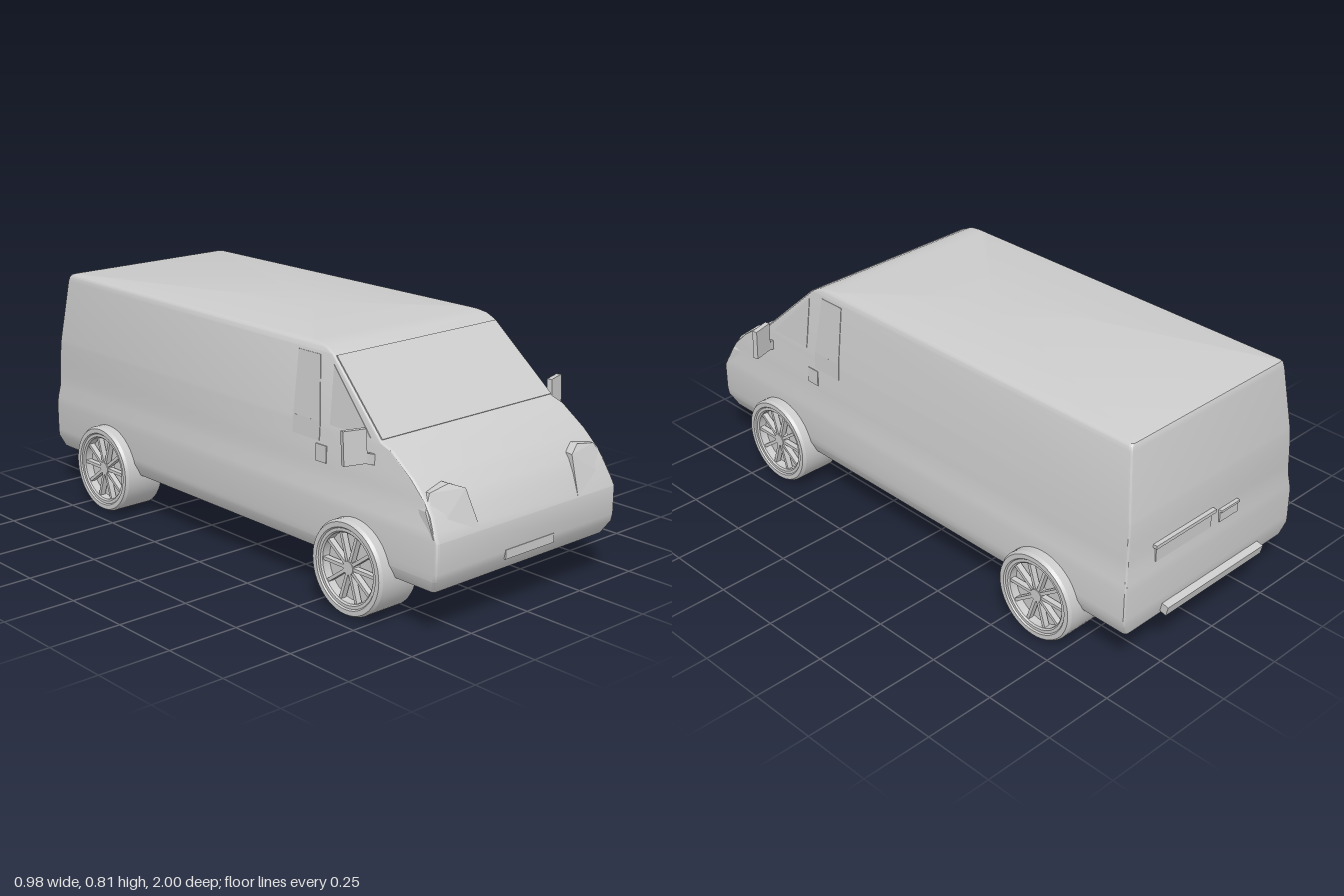
import * as THREE from 'three';
import { toCreasedNormals } from 'three/addons/utils/BufferGeometryUtils.js';
import { ConvexGeometry } from 'three/addons/geometries/ConvexGeometry.js';

const grey = new THREE.MeshStandardMaterial({ color: 0xcccccc });
const V = (x, y, z) => new THREE.Vector3(x, y, z);

function mesh(name, geometry, parent) {
  const m = new THREE.Mesh(geometry, grey);
  m.name = name;
  parent.add(m);
  return m;
}

function box(name, parent, x0, x1, y0, y1, z0, z1) {
  const m = mesh(name, new THREE.BoxGeometry(x1 - x0, y1 - y0, z1 - z0), parent);
  m.position.set((x0 + x1) / 2, (y0 + y1) / 2, (z0 + z1) / 2);
  return m;
}

// Thin plate from a flat outline, thickened both ways along its normal
function plate(name, parent, points, half) {
  const n = points[1].clone().sub(points[0]).cross(points[2].clone().sub(points[0])).setLength(half);
  const all = points.flatMap(p => [p.clone().add(n), p.clone().sub(n)]);
  return mesh(name, new ConvexGeometry(all), parent);
}

// Body levels: height, half width, front z, back z
const LEVELS = [
  [0.157, 0.385, 0.97, -0.965], [0.2, 0.405, 0.995, -0.975], [0.225, 0.406, 1.0, -0.975],
  [0.32, 0.406, 1.0, -0.975], [0.35, 0.403, 0.985, -0.973], [0.39, 0.396, 0.965, -0.968],
  [0.43, 0.394, 0.938, -0.967], [0.485, 0.392, 0.88, -0.966], [0.55, 0.388, 0.79, -0.964],
  [0.565, 0.387, 0.745, -0.962], [0.785, 0.362, 0.505, -0.935], [0.8, 0.358, 0.475, -0.932],
  [0.807, 0.352, 0.44, -0.929], [0.81, 0.343, 0.4, -0.922],
];

function halfWidth(y) {
  const i = Math.max(1, LEVELS.findIndex(l => l[0] >= y));
  const [a, b] = [LEVELS[i - 1], LEVELS[i]];
  return THREE.MathUtils.mapLinear(y, a[0], b[0], a[1], b[1]);
}

// Loft of rounded rectangles, closed by floor and roof
function bodyGeometry() {
  const r = 0.012, steps = 3, pos = [], index = [];
  for (const [y, w, front, back] of LEVELS) {
    const corners = [[w - r, front - r], [r - w, front - r], [r - w, back + r], [w - r, back + r]];
    corners.forEach(([x, z], c) => {
      for (let s = 0; s <= steps; s++) {
        const a = (c + s / steps) * Math.PI / 2;
        pos.push(x + r * Math.cos(a), y, z + r * Math.sin(a));
      }
    });
  }
  const n = 4 * (steps + 1), top = (LEVELS.length - 1) * n, mid = LEVELS.length * n;
  pos.push(0, LEVELS[0][0], 0, 0, LEVELS.at(-1)[0], 0);
  for (let j = 0; j < n; j++) {
    const k = (j + 1) % n;
    for (let i = 0; i < top; i += n) index.push(i + j, i + n + j, i + n + k, i + j, i + n + k, i + k);
    index.push(mid, j, k, mid + 1, top + k, top + j);
  }
  const g = new THREE.BufferGeometry();
  g.setAttribute('position', new THREE.Float32BufferAttribute(pos, 3));
  g.setIndex(index);
  return toCreasedNormals(g, 0.5);
}

// Wheel along +y from its inner face, with a dished rim and ten spokes
function makeWheel() {
  const wheel = new THREE.Group();
  const profile = [[0, 0], [0.15, 0], [0.155, 0.005], [0.155, 0.146], [0.148, 0.157], [0.132, 0.157],
    [0.128, 0.152], [0.118, 0.152], [0.113, 0.147], [0.113, 0.118], [0, 0.118]];
  const lathe = new THREE.LatheGeometry(profile.map(p => new THREE.Vector2(...p)), 48);
  mesh('tyreAndRim', toCreasedNormals(lathe, 0.5), wheel);
  mesh('hub', new THREE.CylinderGeometry(0.022, 0.026, 0.028, 20), wheel).position.y = 0.132;
  for (let i = 0; i < 10; i++) {
    const spoke = new THREE.BoxGeometry(0.1, 0.02, 0.011).translate(0.065, 0.134, 0);
    mesh('spoke', spoke.rotateY((i + 0.5) * Math.PI / 5), wheel);
  }
  return wheel;
}

export function createModel() {
  const van = new THREE.Group();
  van.name = 'van';
  mesh('body', bodyGeometry(), van);

  // Windscreen and front number plate
  plate('windscreen', van, [V(-0.379, 0.571, 0.739), V(0.379, 0.571, 0.739),
    V(0.354, 0.78, 0.511), V(-0.354, 0.78, 0.511)], 0.003);
  box('frontPlate', van, -0.11, 0.11, 0.2, 0.23, 0.98, 1.002);

  for (const s of [1, -1]) {
    const prefix = s > 0 ? 'left' : 'right';
    const onSide = (y, z) => V(s * halfWidth(y), y, z);

    // Side glass and door handle
    plate(prefix + 'QuarterWindow', van,
      [onSide(0.57, 0.7), onSide(0.57, 0.52), onSide(0.755, 0.515)], 0.002);
    plate(prefix + 'DoorWindow', van,
      [onSide(0.57, 0.475), onSide(0.57, 0.35), onSide(0.775, 0.35), onSide(0.775, 0.45)], 0.002);
    plate(prefix + 'DoorWindowSill', van,
      [onSide(0.51, 0.475), onSide(0.51, 0.35), onSide(0.57, 0.35), onSide(0.57, 0.475)], 0.002);
    plate(prefix + 'DoorHandle', van,
      [onSide(0.445, 0.51), onSide(0.445, 0.46), onSide(0.5, 0.46), onSide(0.5, 0.51)], 0.003);

    // Headlight wedge standing out of the nose
    const face = [[0.222, 0.325, 0.998], [0.24, 0.445, 0.952], [0.29, 0.465, 0.93], [0.37, 0.452, 0.93],
      [0.4, 0.405, 0.945], [0.406, 0.33, 0.985]];
    const lamp = face.flatMap(([x, y, z]) => [V(s * x, y, z),
      V(s * THREE.MathUtils.lerp(x, 0.33, 0.12), y, z - 0.06)]);
    mesh(prefix + 'Headlight', new ConvexGeometry(lamp), van);

    // Door mirror on a short arm
    const mirror = new THREE.Group();
    mirror.name = prefix + 'Mirror';
    van.add(mirror);
    plate('mirrorHead', mirror, [V(s * 0.413, 0.5, 0.708), V(s * 0.487, 0.5, 0.685),
      V(s * 0.487, 0.607, 0.68), V(s * 0.413, 0.607, 0.703)], 0.009);
    plate('mirrorArm', mirror, [V(s * 0.38, 0.488, 0.717), V(s * 0.42, 0.5, 0.706),
      V(s * 0.42, 0.533, 0.706), V(s * 0.38, 0.523, 0.717)], 0.007);

    // Wheels
    for (const [end, z] of [['Front', 0.655], ['Rear', -0.635]]) {
      const wheel = makeWheel();
      wheel.name = prefix + end + 'Wheel';
      wheel.position.set(s * 0.29, 0.155, z);
      wheel.rotation.z = -s * Math.PI / 2;
      van.add(wheel);
    }
  }

  // Rear number plate with its lip, door handle and step
  box('rearPlate', van, 0.01, 0.27, 0.375, 0.43, -0.972, -0.95);
  box('rearPlateLip', van, 0, 0.28, 0.43, 0.442, -0.982, -0.95);
  box('rearHandle', van, -0.12, -0.03, 0.375, 0.42, -0.974, -0.95);
  box('rearHandleLip', van, -0.12, -0.03, 0.412, 0.42, -0.98, -0.95);
  plate('rearStep', van, [V(-0.24, 0.165, -0.978), V(0.23, 0.165, -0.978),
    V(0.23, 0.198, -0.986), V(-0.24, 0.198, -0.986)], 0.014);
  return van;
}
